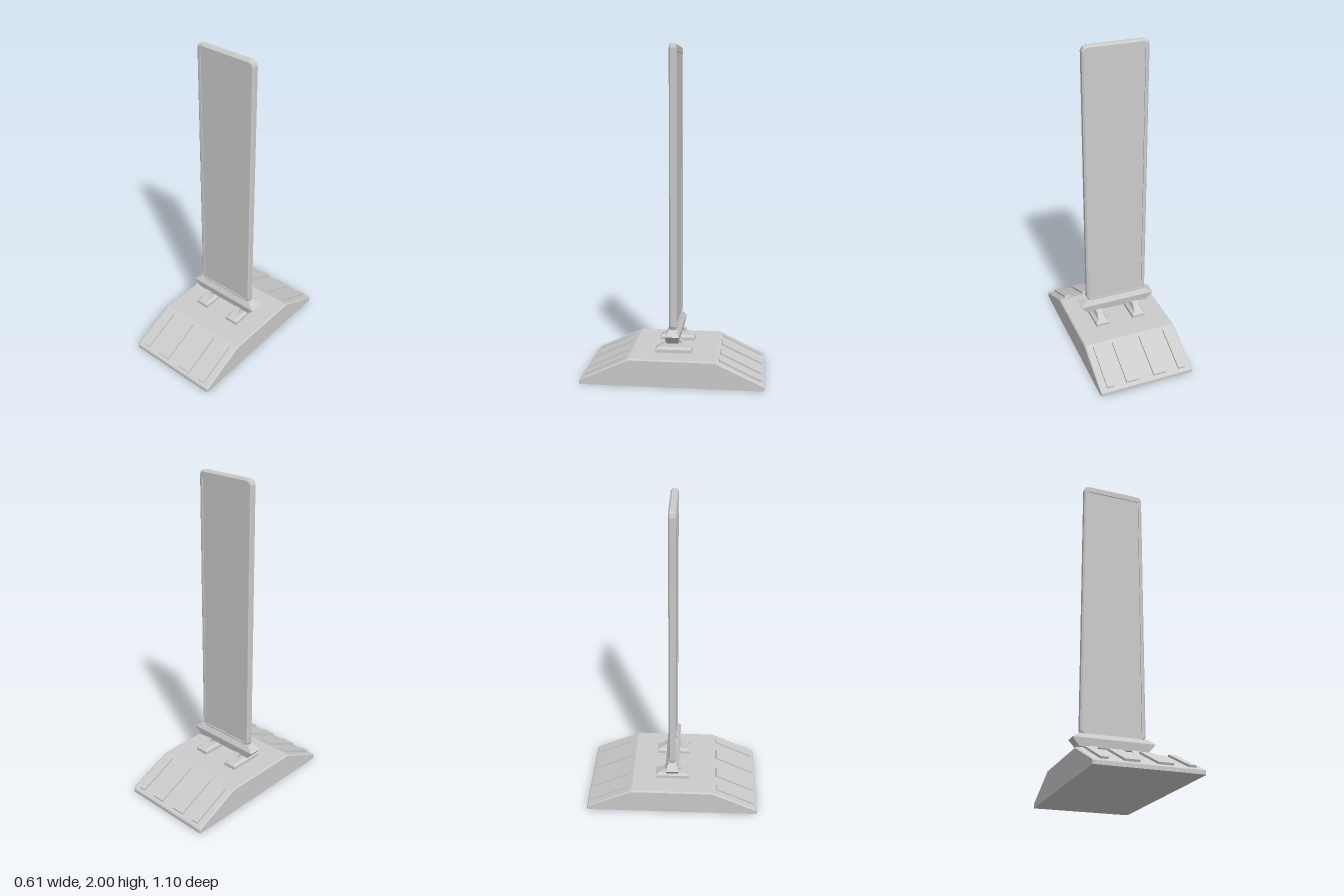
import * as THREE from 'three';

const material = new THREE.MeshStandardMaterial({ color: 0xcccccc, flatShading: true });

// Skin a list of rings (anticlockwise about the direction of travel), with capped ends.
function loft(rings) {
  const n = rings[0].length, index = [];
  for (let r = 0; r < rings.length - 1; r++) {
    for (let i = 0; i < n; i++) {
      const a = r * n + i, b = r * n + (i + 1) % n;
      index.push(a, b, b + n, a, b + n, a + n);
    }
  }
  const last = (rings.length - 1) * n;
  for (let i = 1; i < n - 1; i++) {
    index.push(0, i + 1, i, last, last + i, last + i + 1);
  }
  const g = new THREE.BufferGeometry();
  g.setAttribute('position', new THREE.Float32BufferAttribute(rings.flat(2), 3));
  g.setIndex(index);
  const flat = g.toNonIndexed();
  flat.computeVertexNormals();
  return flat;
}

// Horizontal rectangle at height y with half width w and half depth d
const rect = (y, w, d) => [[w, y, d], [w, y, -d], [-w, y, -d], [-w, y, d]];

// Upright rectangle at depth z with rounded corners
function panelRing(w, y0, y1, radius, z) {
  const ring = [];
  const corners = [[w, y1, -1, -1], [-w, y1, 1, -1], [-w, y0, 1, 1], [w, y0, -1, 1]];
  corners.forEach(([x, y, sx, sy], k) => {
    for (let s = 0; s <= 2; s++) {
      const a = (k + s / 2) * Math.PI / 2;
      ring.push([
        x + radius * (sx + Math.cos(a)),
        y + radius * (sy + Math.sin(a)), z]);
    }
  });
  return ring;
}

// Cross-section of the sloped base at x, pulled in by e for the edge bevel
const baseRing = (x, e) => [
  [x, 0, -0.55 + e], [x, 0.022, -0.55 + e], [x, 0.03, -0.542 + e], [x, 0.165 - e, -0.257],
  [x, 0.165 - e, 0.257], [x, 0.03, 0.542 - e], [x, 0.022, 0.55 - e], [x, 0, 0.55 - e],
];

export function createModel() {
  const model = new THREE.Group();
  const add = (name, geometry, parent = model) => {
    const mesh = new THREE.Mesh(geometry, material);
    mesh.name = name;
    parent.add(mesh);
    return mesh;
  };

  // Ramp-ended base
  add('base', loft([
    baseRing(-0.304, 0.008), baseRing(-0.296, 0), baseRing(0.296, 0), baseRing(0.304, 0.008),
  ]));

  // Raised strips on both slopes
  const slope = Math.atan2(0.135, 0.285);
  for (const side of [1, -1]) {
    const ramp = new THREE.Group();
    ramp.name = side > 0 ? 'frontStrips' : 'backStrips';
    ramp.rotation.y = side > 0 ? 0 : Math.PI;
    model.add(ramp);
    for (const [x, width] of [[-0.237, 0.043], [-0.09, 0.084], [0.09, 0.084], [0.237, 0.043]]) {
      const strip = add('strip', new THREE.BoxGeometry(width, 0.02, 0.274), ramp);
      strip.position.set(x, 0.097, 0.406);
      strip.rotation.x = slope;
    }
  }

  // Two flared feet under the collar
  for (const x of [-0.125, 0.125]) {
    add(x > 0 ? 'leftFoot' : 'rightFoot', loft([
      rect(0.16, 0.044, 0.11), rect(0.185, 0.044, 0.11),
      rect(0.198, 0.026, 0.092), rect(0.222, 0.018, 0.057), rect(0.245, 0.023, 0.034),
    ])).position.x = x;
  }

  // Collar holding the panel
  add('collar', loft([
    rect(0.238, 0.208, 0.034), rect(0.288, 0.25, 0.042), rect(0.318, 0.206, 0.025),
  ]));

  // Upright panel with a bevelled rim and a sunken face on each side
  const inner = z => panelRing(0.175, 0.33, 1.955, 0.002, z);
  const rim = z => panelRing(0.19, 0.318, 1.99, 0.022, z);
  const outer = z => panelRing(0.2, 0.308, 2, 0.03, z);
  add('panel', loft([
    inner(-0.016), inner(-0.022), rim(-0.022), outer(-0.013),
    outer(0.013), rim(0.022), inner(0.022), inner(0.016),
  ]));

  return model;
}
